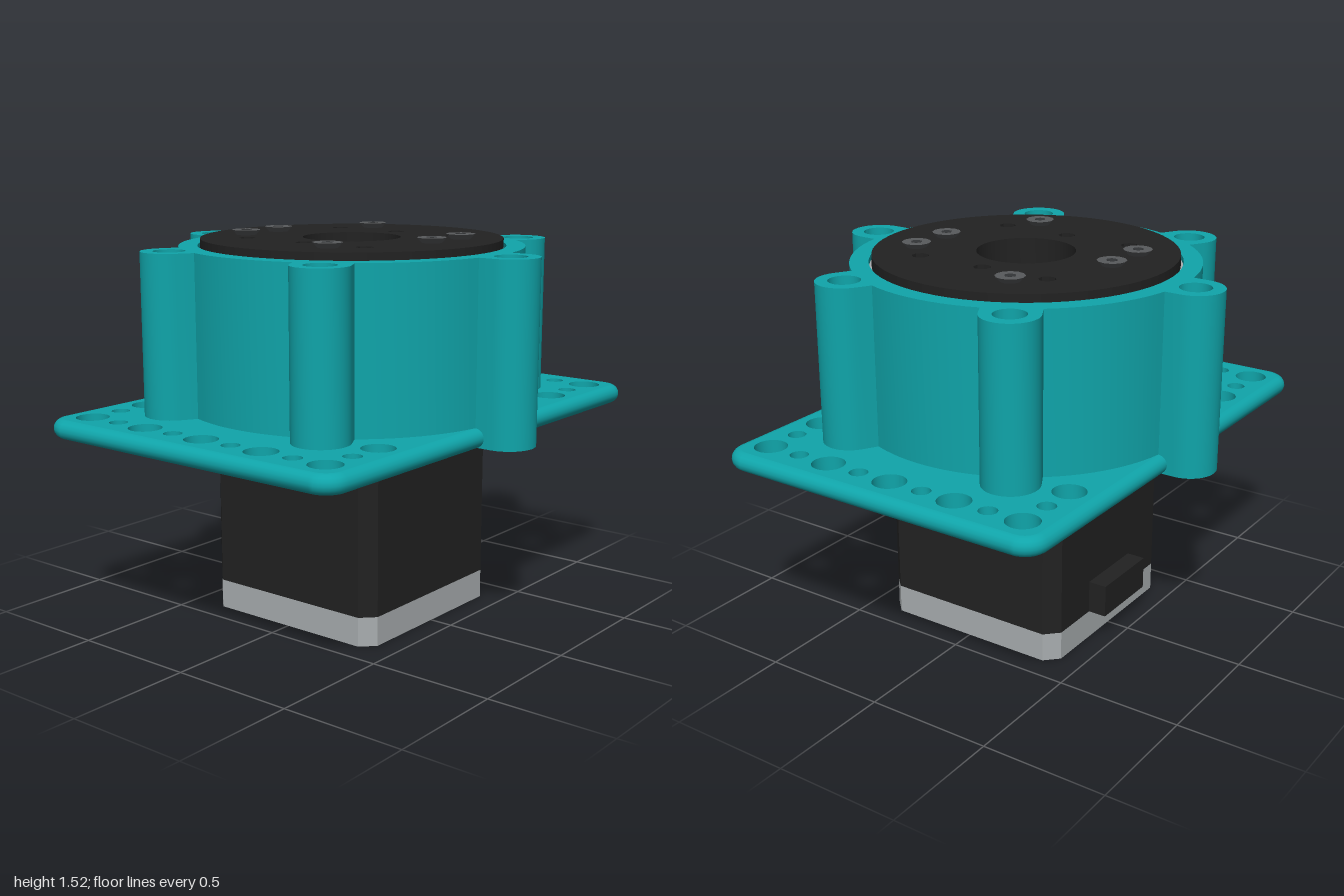
import * as THREE from 'three';
import { toCreasedNormals } from 'three/addons/utils/BufferGeometryUtils.js';

const mat = (name, color) => {
  const m = new THREE.MeshStandardMaterial({ color });
  m.name = name;
  return m;
};

export function createModel() {
  const teal = mat('teal plastic', 0x10a5aa);
  const black = mat('black', 0x222222);
  const grey = mat('light metal', 0xa9aeb0);
  const steel = mat('dark steel', 0x585a5c);
  const socket = mat('socket', 0x333537);
  const gold = mat('brass', 0xc8a010);

  const model = new THREE.Group();
  model.name = 'gearedMotor';

  const add = (name, geometry, material, x = 0, y = 0, z = 0, parent = model) => {
    const mesh = new THREE.Mesh(geometry, material);
    mesh.name = name;
    mesh.position.set(x, y, z);
    parent.add(mesh);
    return mesh;
  };
  const circle = (x, y, r, n = 32) => {
    const path = new THREE.Path();
    for (let i = 0; i <= n; i++) {
      const a = ((i + 0.5) / n) * Math.PI * 2;
      const px = x + r * Math.cos(a), py = y + r * Math.sin(a);
      if (i === 0) path.moveTo(px, py);
      else path.lineTo(px, py);
    }
    return path;
  };
  const disc = (r, n = 72) => new THREE.Shape(circle(0, 0, r, n).getPoints());
  // Upright extrusion from y0 to y1
  const slab = (shape, holes, y0, y1) => {
    shape.holes.push(...holes);
    const g = new THREE.ExtrudeGeometry(shape, { depth: y1 - y0, bevelEnabled: false, curveSegments: 12 });
    g.rotateX(-Math.PI / 2).translate(0, y0, 0);
    return toCreasedNormals(g, 0.5);
  };

  // Motor: chamfered square block in three bands
  const motorShape = () => {
    const h = 0.405, c = 0.352;
    return new THREE.Shape([[h, -c], [h, c], [c, h], [-c, h], [-h, c], [-h, -c], [-c, -h], [c, -h]]
      .map(([x, y]) => new THREE.Vector2(x, y)));
  };
  const motorHoles = [];
  for (const x of [-0.315, 0.315]) for (const y of [-0.315, 0.315]) motorHoles.push(circle(x, y, 0.034, 16));
  add('motorEndCap', slab(motorShape(), motorHoles, 0, 0.116), grey);
  add('motorBody', slab(motorShape(), [], 0.116, 0.652), black);
  add('motorFrontCap', slab(motorShape(), [], 0.652, 0.775), grey);
  add('motorConnector', new THREE.BoxGeometry(0.3, 0.132, 0.1), black, 0, 0.183, -0.43);

  // Mounting plate: perforated core with a rounded rim
  const y0 = 0.772, y1 = 0.846, rim = (y1 - y0) / 2;
  const outline = [];
  const cornerR = 0.06, hx = 1 - rim - cornerR, hz = 0.708 - rim - cornerR;
  [[1, 1], [-1, 1], [-1, -1], [1, -1]].forEach(([sx, sz], q) => {
    for (let i = 0; i <= 8; i++) {
      const a = (q + i / 8) * Math.PI / 2;
      outline.push({ x: sx * hx + cornerR * Math.cos(a), z: sz * hz + cornerR * Math.sin(a), a });
    }
  });
  const plateHoles = [];
  for (const s of [-1, 1]) {
    for (let i = -2; i <= 2; i++) plateHoles.push(circle(s * 0.865, i * 0.288, 0.064, 24));
    for (const t of [-1, 1]) {
      plateHoles.push(circle(s * 0.577, t * 0.577, 0.064, 24));
      plateHoles.push(circle(s * 0.721, t * 0.577, 0.036, 16));
      for (const z of [0.144, 0.432]) plateHoles.push(circle(s * 0.865, t * z, 0.036, 16));
    }
  }
  const plateShape = new THREE.Shape(outline.map(p => new THREE.Vector2(p.x, p.z)));
  add('mountingPlate', slab(plateShape, plateHoles, y0, y1), teal);

  const pos = [], idx = [], steps = 8, n = outline.length;
  outline.forEach((p, i) => {
    for (let j = 0; j <= steps; j++) {
      const b = (j / steps - 0.5) * Math.PI, r = rim * Math.cos(b);
      pos.push(p.x + r * Math.cos(p.a), (y0 + y1) / 2 + rim * Math.sin(b), p.z + r * Math.sin(p.a));
      if (j === steps) continue;
      const a = i * (steps + 1) + j, c = ((i + 1) % n) * (steps + 1) + j;
      idx.push(a, a + 1, c, a + 1, c + 1, c);
    }
  });
  const rimGeometry = new THREE.BufferGeometry();
  rimGeometry.setAttribute('position', new THREE.Float32BufferAttribute(pos, 3));
  rimGeometry.setIndex(idx);
  rimGeometry.computeVertexNormals();
  add('plateRim', rimGeometry, teal);

  // Housing: ring with six screw bosses
  const R = 0.68, bossR = 0.11, bossAt = 0.738, half = Math.asin(bossR / R);
  const housingPts = [], bossHoles = [], bosses = [];
  for (let k = 0; k < 6; k++) {
    const a = Math.PI / 6 + k * Math.PI / 3;
    const cx = bossAt * Math.cos(a), cy = bossAt * Math.sin(a);
    bosses.push([cx, -cy]);
    bossHoles.push(circle(cx, cy, 0.062, 24));
    for (let i = 0; i <= 16; i++) {
      const b = a + (i / 16 - 0.5) * Math.PI;
      housingPts.push(new THREE.Vector2(cx + bossR * Math.cos(b), cy + bossR * Math.sin(b)));
    }
    for (let i = 0; i <= 10; i++) {
      const b = a + half + (i / 10) * (Math.PI / 3 - 2 * half);
      housingPts.push(new THREE.Vector2(R * Math.cos(b), R * Math.sin(b)));
    }
  }
  add('housing', slab(new THREE.Shape(housingPts), [circle(0, 0, 0.606, 72), ...bossHoles], y0, 1.475), teal);

  // Screws sunk in the bosses, with hex nuts underneath
  for (const [x, z] of bosses) {
    const g = new THREE.Group();
    g.name = 'bossScrew';
    g.position.set(x, 0, z);
    model.add(g);
    add('screwHead', new THREE.CylinderGeometry(0.06, 0.06, 0.06, 20), steel, 0, 1.1, 0, g);
    add('screwSocket', new THREE.CylinderGeometry(0.024, 0.024, 0.004, 6), socket, 0, 1.131, 0, g);
    add('nut', new THREE.CylinderGeometry(0.061, 0.061, 0.07, 6), steel, 0, 0.803, 0, g);
    add('nutBore', new THREE.CylinderGeometry(0.03, 0.03, 0.004, 12), socket, 0, 0.767, 0, g);
  }

  // Bearing ring and output rotor
  add('bearingRing', slab(disc(0.605), [circle(0, 0, 0.59, 72)], 1.1, 1.455), grey);
  const rotorHoles = [circle(0, 0, 0.193, 40)];
  for (const x of [-0.29, 0.29]) for (const y of [-0.29, 0, 0.29]) rotorHoles.push(circle(x, y, 0.034, 8));
  add('outputRotor', slab(disc(0.595), rotorHoles, 1.05, 1.503), black);

  // Countersunk screws on the rotor
  for (const [x, z] of [[-0.193, -0.385], [0, -0.385], [0.385, -0.193], [-0.385, 0.193], [0, 0.385], [0.193, 0.385]]) {
    add('rotorScrew', new THREE.CylinderGeometry(0.057, 0.024, 0.036, 12), steel, x, 1.505, z);
    add('rotorScrewSocket', new THREE.CylinderGeometry(0.023, 0.023, 0.003, 6), socket, x, 1.5225, z);
  }

  // Brass hub at the bottom of the central bore
  add('hub', new THREE.CylinderGeometry(0.2, 0.2, 0.21, 40), gold, 0, 0.945, 0);
  add('motorShaft', new THREE.CylinderGeometry(0.05, 0.05, 0.24, 24), grey, 0, 0.96, 0);
  for (const z of [-0.13, 0.128]) {
    add('hubScrew', new THREE.CylinderGeometry(0.057, 0.057, 0.04, 20), steel, 0.012, 1.065, z);
    add('hubScrewSocket', new THREE.CylinderGeometry(0.023, 0.023, 0.004, 6), socket, 0.012, 1.086, z);
  }
  add('clampNut', new THREE.BoxGeometry(0.05, 0.03, 0.07), grey, 0.12, 1.06, -0.032);
  add('clampNutSide', new THREE.BoxGeometry(0.05, 0.03, 0.06), steel, 0.12, 1.06, 0.033);
  return model;
}
